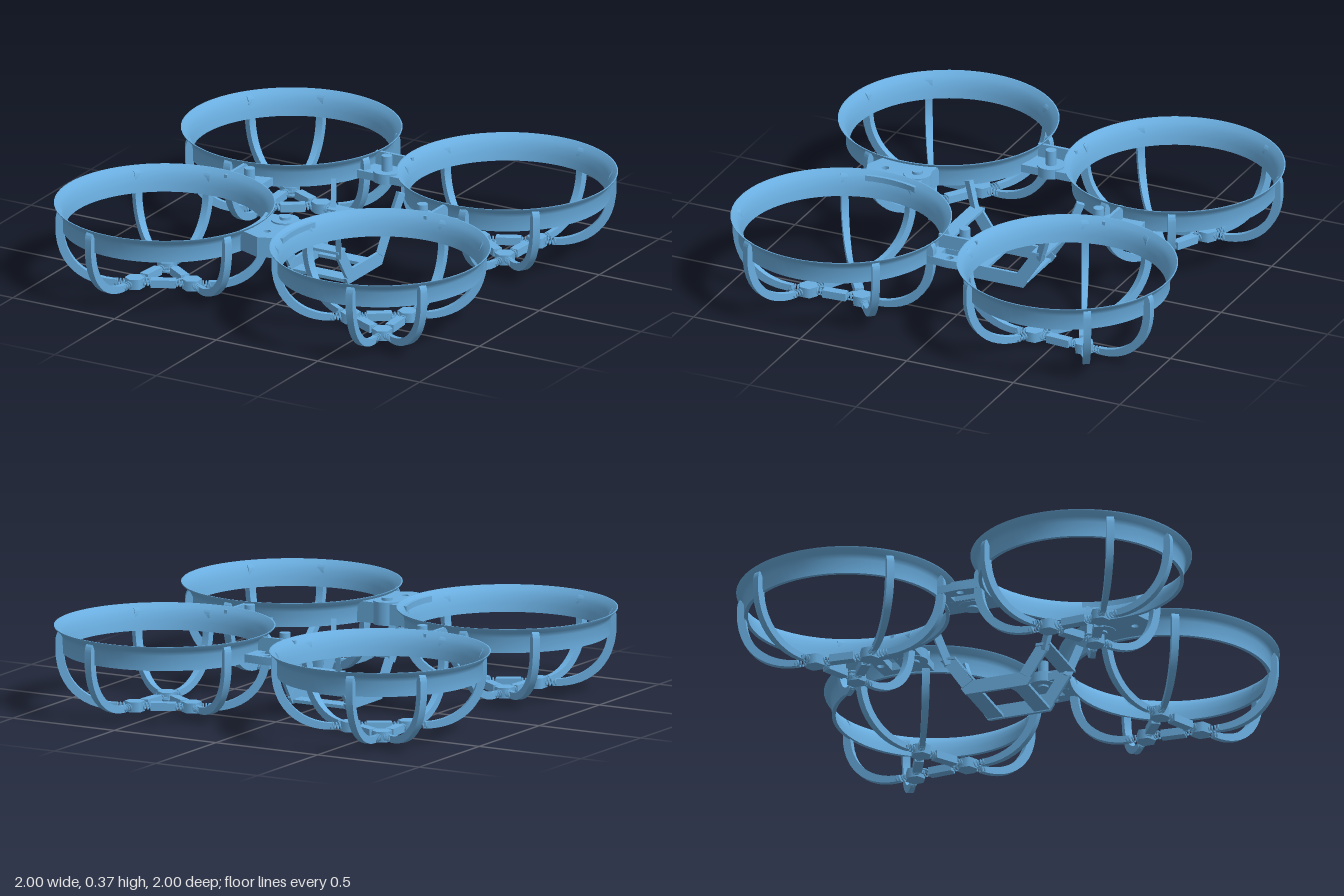
import * as THREE from 'three';
import { toCreasedNormals } from 'three/addons/utils/BufferGeometryUtils.js';

const blue = new THREE.MeshStandardMaterial({ color: 0x6aaee0 });
blue.name = 'frame blue';
const V = (x, y, z) => new THREE.Vector3(x, y, z);
const points2 = (list) => list.map(([a, b]) => new THREE.Vector2(a, b));

function add(parent, name, geometry, position) {
  const mesh = new THREE.Mesh(geometry, blue);
  mesh.name = name;
  if (position) mesh.position.copy(position);
  parent.add(mesh);
  return mesh;
}

// Places a geometry that lies along z between a and b
function span(parent, name, geometry, a, b) {
  const mesh = add(parent, name, geometry, a.clone().lerp(b, 0.5));
  mesh.quaternion.setFromRotationMatrix(new THREE.Matrix4().lookAt(b, a, V(0, 1, 0)));
}

// Box running from a to b, with width w and height h
function bar(parent, name, a, b, w, h) {
  span(parent, name, new THREE.BoxGeometry(w, h, a.distanceTo(b)), a, b);
}

// Coil running from a to b
function spring(parent, name, a, b, radius, turns) {
  const length = a.distanceTo(b), points = [];
  const steps = turns * 8;
  for (let i = 0; i <= steps; i++) {
    const t = i / 8 * Math.PI * 2;
    points.push(V(Math.cos(t) * radius, Math.sin(t) * radius, (i / steps - 0.5) * length));
  }
  const curve = new THREE.CatmullRomCurve3(points);
  span(parent, name, new THREE.TubeGeometry(curve, steps, 0.004, 5), a, b);
}

// Curved landing strut, flat along the bottom and upright outside the duct
function strut(parent, from, to) {
  const dx = to.x - from.x, dz = to.z - from.z, L = Math.hypot(dx, dz);
  const s = new THREE.Shape();
  s.moveTo(0.07, 0.018);
  s.bezierCurveTo(L * 0.55, 0.012, L * 0.95, 0.075, L, 0.25);
  s.lineTo(L, 0.32);
  s.quadraticCurveTo(L - 0.002, 0.345, L - 0.016, 0.355);
  s.quadraticCurveTo(L - 0.03, 0.345, L - 0.032, 0.32);
  s.lineTo(L - 0.036, 0.25);
  s.bezierCurveTo(L * 0.86, 0.11, L * 0.52, 0.045, 0.07, 0.046);
  const g = new THREE.ExtrudeGeometry(s, { depth: 0.03, bevelEnabled: false, curveSegments: 12 });
  g.translate(0, 0, -0.015);
  // narrower towards the hub
  const pos = g.attributes.position;
  for (let i = 0; i < pos.count; i++) pos.setZ(i, pos.getZ(i) * (0.6 + 0.5 * pos.getX(i) / L));
  const mesh = add(parent, 'strut', toCreasedNormals(g, 0.6), V(from.x, 0, from.z));
  mesh.rotation.y = Math.atan2(-dz, dx);
}

// Duct ring with its struts, hubs, springs and links
function rotorGuard(sx, sz) {
  const group = new THREE.Group();
  group.name = 'rotorGuard';
  group.position.set(sx * 0.53, 0, sz * 0.53);

  const profile = points2([[0.42, 0.26], [0.436, 0.26], [0.437, 0.325], [0.447, 0.346], [0.468, 0.364],
    [0.47, 0.37], [0.465, 0.37], [0.447, 0.353], [0.434, 0.33], [0.425, 0.297], [0.42, 0.26]]);
  add(group, 'ductRing', toCreasedNormals(new THREE.LatheGeometry(profile, 72), 0.6));

  // angle 0 points at the middle of the frame; the four guards mirror each other
  const y = 0.032;
  const at = (deg, r) => {
    const a = THREE.MathUtils.degToRad(deg);
    return V(-sx * Math.cos(a) * r, y, -sz * Math.sin(a) * r);
  };
  for (let turn = 0; turn < 360; turn += 120) {
    const hub = at(turn - 4, 0.14), next = at(turn + 116, 0.14);
    add(group, 'hub', new THREE.CylinderGeometry(0.043, 0.043, 0.044, 6).toNonIndexed(), hub);
    for (const deg of [-24, 16]) {
      const end = at(turn + deg, 0.464);
      strut(group, hub, end);
      const along = (d) => hub.clone().addScaledVector(end.clone().sub(hub).normalize(), d);
      spring(group, 'strutSpring', along(0.03), along(0.085), 0.014, 4);
    }
    // link block held between two springs
    const p = (t) => hub.clone().lerp(next, t);
    bar(group, 'linkBlock', p(0.28), p(0.72), 0.04, 0.034);
    spring(group, 'linkSpring', p(0.13), p(0.3), 0.014, 3);
    spring(group, 'linkSpring', p(0.7), p(0.87), 0.014, 3);
    const loop = add(group, 'linkLoop', new THREE.TorusGeometry(0.02, 0.005, 5, 12), at(turn - 4, 0.085));
    loop.rotation.x = Math.PI / 2;
  }
  return group;
}

// Bracket joining two neighbouring ducts, pointing outward along its own +x
function bracket(name, angle, end, tip, full) {
  const group = new THREE.Group();
  group.name = name;
  group.rotation.y = angle;
  const edge = (u) => 0.53 - Math.sqrt(0.434 ** 2 - (u - 0.53) ** 2);
  const lower = [], near = 0.38;
  for (let i = 0; i <= 10; i++) {
    const u = near + (end - near) * i / 10;
    lower.push(new THREE.Vector2(u, -edge(u)));
  }
  const upper = lower.map((p) => new THREE.Vector2(p.x, -p.y)).reverse();
  const s = new THREE.Shape([...lower, new THREE.Vector2(tip, 0), ...upper]);
  s.holes.push(new THREE.Path().absarc(0.575, 0, 0.016, 0, Math.PI * 2, true));
  if (!full) s.holes.push(new THREE.Path(points2([[0.5, -0.055], [0.5, 0.055], [0.545, 0.055], [0.545, -0.055]])));
  const g = new THREE.ExtrudeGeometry(s, { depth: full ? 0.09 : 0.035, bevelEnabled: false, curveSegments: 10 });
  g.rotateX(-Math.PI / 2);
  add(group, 'bracketPlate', toCreasedNormals(g, 0.5), V(0, 0.265, 0));
  if (!full) add(group, 'bracketWall', new THREE.BoxGeometry(0.014, 0.095, 0.18), V(0.49, 0.312, 0));
  add(group, 'mountDisc', new THREE.CylinderGeometry(0.06, 0.06, full ? 0.1 : 0.045, 28), V(0.425, full ? 0.312 : 0.285, 0));
  add(group, 'mountPin', new THREE.CylinderGeometry(0.023, 0.023, 0.12, 16), V(0.425, 0.314, 0));
  return group;
}

// Hanging cradle in the middle
function cradle() {
  const group = new THREE.Group();
  group.name = 'cradle';
  for (const sz of [-1, 1]) {
    for (const sx of [-1, 1]) {
      const x = sx * 0.14;
      bar(group, 'cradleArm', V(x, 0.045, sz * 0.13), V(x, 0.165, sz * 0.21), 0.014, 0.055);
      bar(group, 'cradleHanger', V(x, 0.15, sz * 0.215), V(sx * 0.165, 0.29, sz * 0.262), 0.022, 0.035);
    }
    bar(group, 'upperCrossPlate', V(-0.155, 0.175, sz * 0.215), V(0.155, 0.175, sz * 0.215), 0.065, 0.012);
    bar(group, 'lowerCrossPlate', V(-0.135, 0.012, sz * 0.105), V(0.135, 0.012, sz * 0.105), 0.07, 0.014);
  }
  // tapered side plates
  const s = new THREE.Shape(points2([[-0.14, 0], [0.14, 0], [0.16, 0.03], [0.13, 0.062], [-0.13, 0.062], [-0.16, 0.03]]));
  for (const sx of [-1, 1]) {
    const g = new THREE.ExtrudeGeometry(s, { depth: 0.014, bevelEnabled: false });
    g.translate(0, 0, -0.007);
    g.rotateY(Math.PI / 2);
    add(group, 'cradleSide', g, V(sx * 0.137, 0, 0));
  }
  return group;
}

export function createModel() {
  const model = new THREE.Group();
  model.name = 'quadFrame';
  for (const sx of [-1, 1]) for (const sz of [-1, 1]) model.add(rotorGuard(sx, sz));
  model.add(bracket('frontBracket', -Math.PI / 2, 0.62, 0.66, true));
  model.add(bracket('backBracket', Math.PI / 2, 0.595, 0.605, false));
  model.add(bracket('leftBracket', 0, 0.595, 0.605, false));
  model.add(bracket('rightBracket', Math.PI, 0.595, 0.605, false));
  model.add(cradle());
  return model;
}
